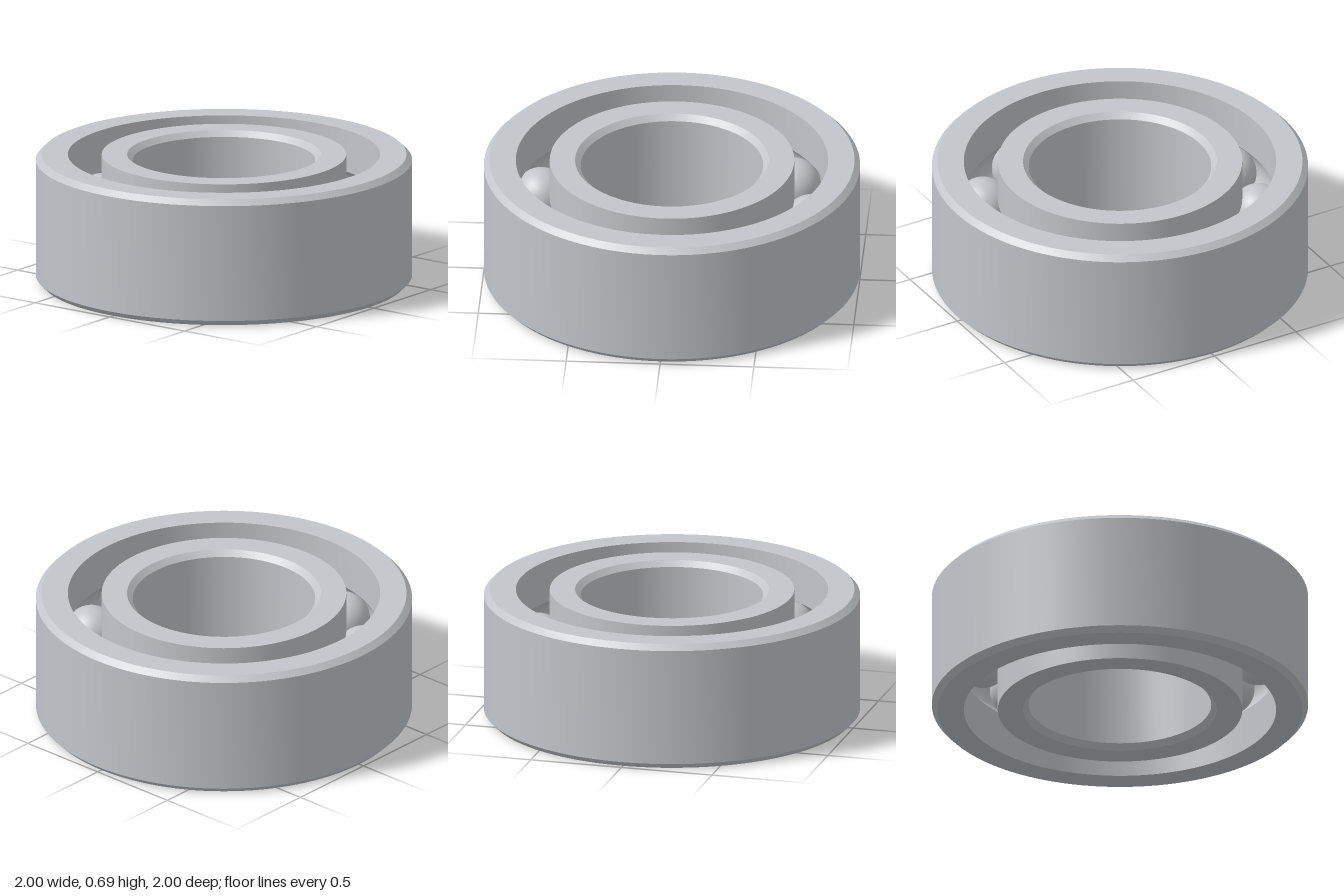
import * as THREE from 'three';
import { toCreasedNormals } from 'three/addons/utils/BufferGeometryUtils.js';

const HEIGHT = 0.69, MID = HEIGHT / 2, CHAMFER = 0.03;
const PITCH = 0.74, BALL = 0.145, BALLS = 11;
const OUTER = 1, OUTER_BORE = 0.83, INNER = 0.65, BORE = 0.485;

// Ball groove: an arc about the pitch circle, cut into a wall at the ring's face
function groove(facing) {
  const radius = BALL + 0.002;
  const half = Math.acos((OUTER_BORE - PITCH) / radius);
  const points = [];
  for (let i = 0; i <= 16; i++) {
    const a = facing + half - (2 * half * i) / 16;
    points.push([PITCH + radius * Math.cos(a), MID + radius * Math.sin(a)]);
  }
  return points;
}

// Turned ring from a closed [radius, height] profile
function ring(name, profile, material) {
  const points = [...profile, profile[0]].map(([r, y]) => new THREE.Vector2(r, y));
  const mesh = new THREE.Mesh(toCreasedNormals(new THREE.LatheGeometry(points, 120), 0.5), material);
  mesh.name = name;
  return mesh;
}

export function createModel() {
  const model = new THREE.Group();
  model.name = 'ballBearing';
  const steel = new THREE.MeshStandardMaterial({ color: 0xc2c5ca });
  steel.name = 'steel';

  // Outer ring, chamfered outside and grooved inside
  model.add(ring('outerRing', [
    [OUTER - CHAMFER, 0], [OUTER, CHAMFER], [OUTER, HEIGHT - CHAMFER], [OUTER - CHAMFER, HEIGHT],
    [OUTER_BORE, HEIGHT], ...groove(0), [OUTER_BORE, 0],
  ], steel));

  // Inner ring, grooved outside and chamfered at the bore
  model.add(ring('innerRing', [
    [INNER, 0], ...groove(Math.PI), [INNER, HEIGHT],
    [BORE + CHAMFER, HEIGHT], [BORE, HEIGHT - CHAMFER], [BORE, CHAMFER], [BORE + CHAMFER, 0],
  ], steel));

  // Balls spaced evenly around the race
  const balls = new THREE.Group();
  balls.name = 'balls';
  const ballGeometry = new THREE.SphereGeometry(BALL, 40, 28);
  for (let i = 0; i < BALLS; i++) {
    const a = (i / BALLS) * Math.PI * 2;
    const ball = new THREE.Mesh(ballGeometry, steel);
    ball.name = `ball${i + 1}`;
    ball.position.set(PITCH * Math.cos(a), MID, PITCH * Math.sin(a));
    balls.add(ball);
  }
  model.add(balls);
  return model;
}
